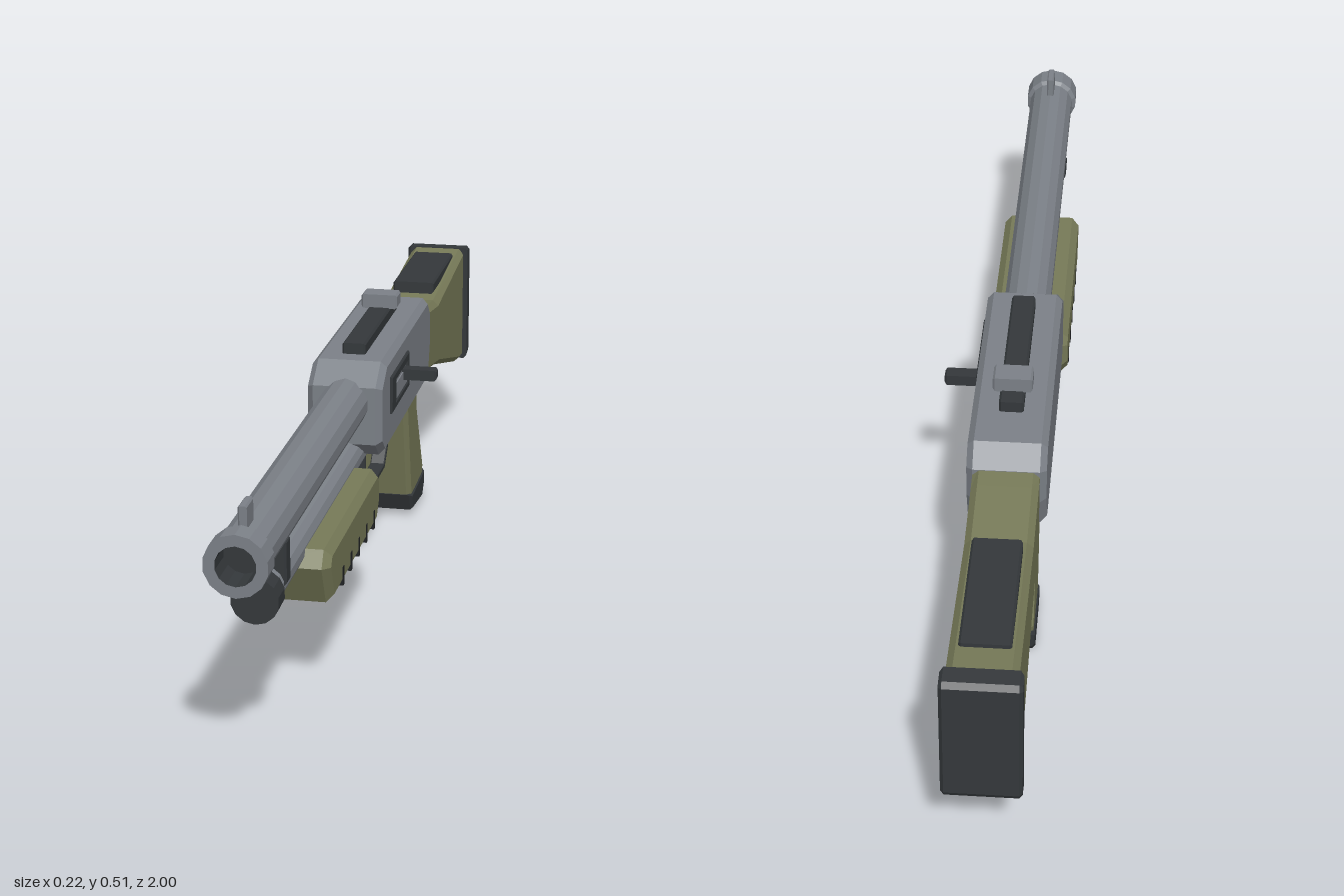
import * as THREE from 'three';

const CX = -0.032; // centre plane of the body

export function createModel() {
  const model = new THREE.Group();
  model.name = 'shotgun';
  const mat = (color) => new THREE.MeshStandardMaterial({ color, flatShading: true });
  const steel = mat(0x7c8188);
  const dark = mat(0x34383b);
  const black = mat(0x202224);
  const olive = mat(0x777a58);

  const add = (name, geometry, material) => {
    const mesh = new THREE.Mesh(geometry, material);
    mesh.name = name;
    model.add(mesh);
    return mesh;
  };
  const toShape = (pts) => new THREE.Shape(pts.map(([z, y]) => new THREE.Vector2(z, y)));

  // side profile [z, y] given a width along x, with chamfered edges
  const slab = (name, pts, width, bevel, material, hole, x = CX) => {
    const shape = toShape(pts);
    if (hole) shape.holes.push(toShape(hole));
    const g = new THREE.ExtrudeGeometry(shape, {
      depth: width - 2 * bevel, bevelEnabled: bevel > 0, bevelThickness: bevel,
      bevelSize: bevel, bevelOffset: -bevel, bevelSegments: 1,
    });
    g.translate(0, 0, bevel - width / 2).rotateY(-Math.PI / 2).translate(x, 0, 0);
    return add(name, g, material);
  };
  // chamfered block from z, y ranges
  const block = (name, z0, z1, y0, y1, width, bevel, material, x = CX) =>
    slab(name, [[z0, y0], [z1, y0], [z1, y1], [z0, y1]], width, bevel, material, null, x);
  // turned part along z, profile [radius, z]
  const turned = (name, pts, y, material) => {
    const g = new THREE.LatheGeometry(pts.map(([r, z]) => new THREE.Vector2(r, z)), 14);
    g.rotateX(Math.PI / 2).translate(CX, y, 0);
    return add(name, g, material);
  };

  // barrel with muzzle ring and bore
  turned('barrel', [[0, 0.1], [0.047, 0.1], [0.047, 0.95], [0.055, 0.955], [0.055, 1], [0.035, 1]], 0.39, steel);
  turned('bore', [[0.035, 1], [0.035, 0.94], [0, 0.94]], 0.39, dark);
  block('frontSight', 0.9, 0.95, 0.43, 0.475, 0.015, 0.003, steel);

  // magazine tube
  turned('magazineTube', [[0, 0.03], [0.034, 0.03], [0.034, 0.84], [0, 0.84]], 0.28, steel);
  turned('magazineCap', [[0, 0.83], [0.042, 0.83], [0.042, 0.875], [0, 0.875]], 0.28, dark);
  block('barrelBand', 0.765, 0.8, 0.28, 0.36, 0.074, 0.004, dark);

  // pump forend with grip notches on both sides
  slab('forend', [[0.62, 0.18], [0.655, 0.255], [0.635, 0.285], [0.2, 0.285], [0.18, 0.265],
    [0.18, 0.215], [0.21, 0.18]], 0.16, 0.014, olive);
  for (let i = 0; i < 5; i++) {
    const z = 0.245 + i * 0.0725;
    for (const s of [-1, 1])
      block('forendNotch', z - 0.005, z + 0.005, 0.181, 0.217, 0.012, 0, black, CX + s * 0.075);
  }

  // receiver
  slab('receiver', [[0.1, 0.28], [0.135, 0.31], [0.135, 0.425], [0.08, 0.463], [-0.395, 0.463],
    [-0.432, 0.425], [-0.432, 0.355], [-0.41, 0.29], [-0.385, 0.28]], 0.147, 0.012, steel);
  block('topRail', -0.305, 0.04, 0.455, 0.485, 0.046, 0.004, dark);
  block('rearSight', -0.27, -0.225, 0.483, 0.512, 0.074, 0.004, steel);

  // ejection port frame, bolt and handle
  slab('ejectionPort', [[-0.143, 0.347], [0.047, 0.347], [0.047, 0.421], [-0.143, 0.421]],
    0.014, 0.002, dark, [[-0.128, 0.36], [-0.128, 0.404], [0.005, 0.404], [0.005, 0.36]], 0.04);
  block('bolt', -0.128, 0.005, 0.36, 0.392, 0.01, 0, steel, 0.039);
  block('boltHandle', -0.115, -0.088, 0.376, 0.398, 0.075, 0.004, dark, 0.073);

  // trigger and guard
  slab('triggerGuard', [[0, 0.29], [0, 0.18], [-0.04, 0.142], [-0.212, 0.142], [-0.25, 0.178],
    [-0.238, 0.29]], 0.03, 0.002, dark,
  [[-0.011, 0.278], [-0.227, 0.278], [-0.238, 0.183], [-0.207, 0.153], [-0.044, 0.153], [-0.011, 0.185]]);
  slab('trigger', [[-0.12, 0.29], [-0.126, 0.24], [-0.142, 0.215], [-0.17, 0.198], [-0.165, 0.21],
    [-0.15, 0.232], [-0.145, 0.29]], 0.016, 0.002, steel);

  // pistol grip
  slab('grip', [[-0.255, 0.285], [-0.31, 0.04], [-0.455, 0.04], [-0.463, 0.07], [-0.385, 0.225],
    [-0.375, 0.285]], 0.107, 0.01, olive);
  slab('gripCap', [[-0.305, 0.05], [-0.32, 0.012], [-0.44, 0], [-0.462, 0.025], [-0.466, 0.058]],
    0.113, 0.006, dark);

  // shoulder stock
  slab('stock', [[-0.42, 0.425], [-0.47, 0.42], [-0.6, 0.402], [-0.962, 0.43], [-0.962, 0.166],
    [-0.91, 0.17], [-0.615, 0.25], [-0.44, 0.278]], 0.123, 0.012, olive);
  block('cheekPad', -0.9, -0.63, 0.408, 0.433, 0.09, 0.004, dark);
  slab('buttPad', [[-0.957, 0.432], [-0.957, 0.165], [-0.995, 0.172], [-1, 0.182], [-1, 0.422], [-0.99, 0.43]],
    0.14, 0.006, dark);

  return model;
}
